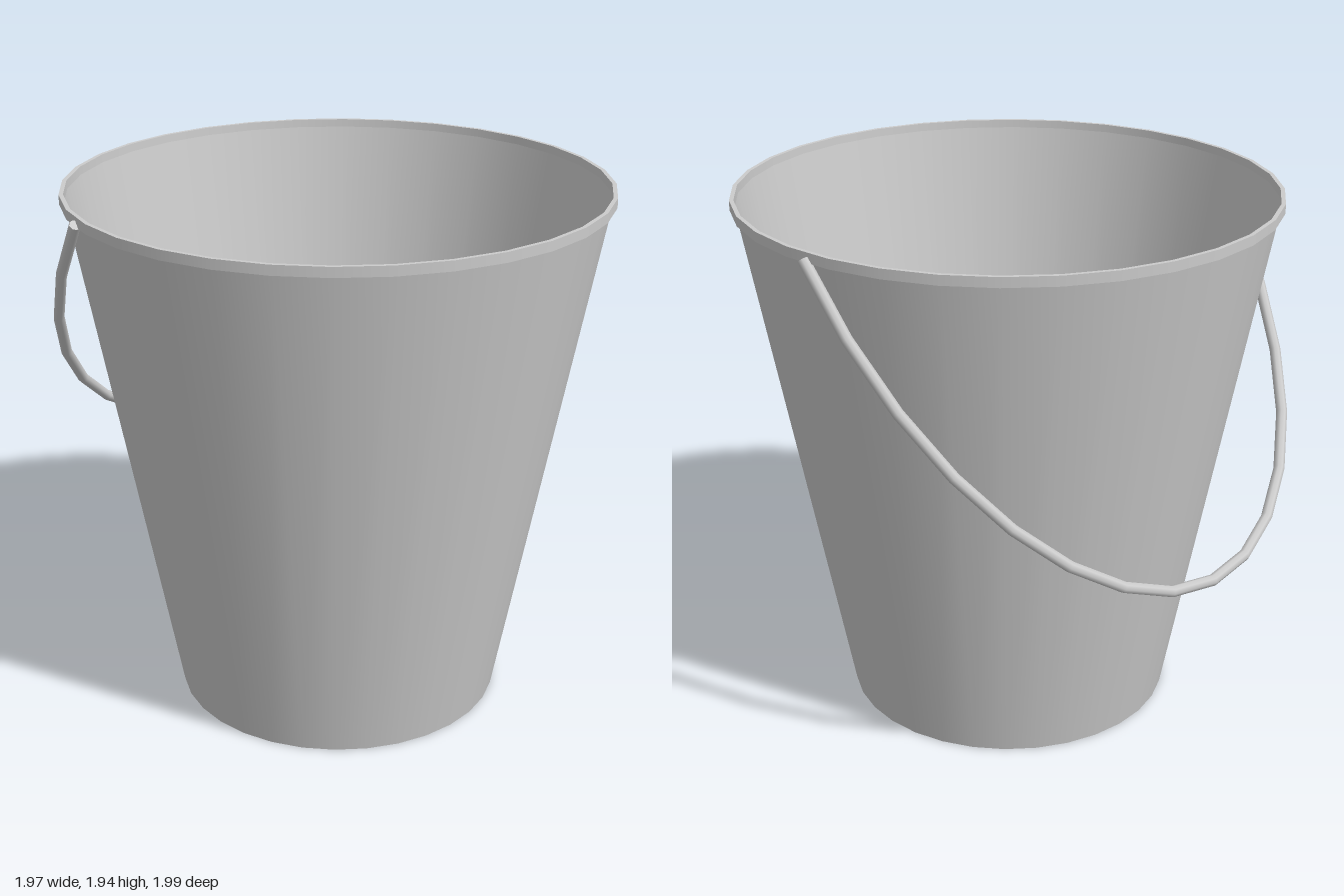
import * as THREE from 'three';

const SIDES = 32;
const v2 = (x, y) => new THREE.Vector2(x, y);

// Half ellipse in a tilted plane, hanging from the rim behind the bucket
class HandleCurve extends THREE.Curve {
  getPoint(t, target = new THREE.Vector3()) {
    const a = Math.PI * t, s = Math.sin(a);
    return target.set(0.965 * Math.cos(a), 1.915 - 1.142 * s, -0.055 - 0.922 * s);
  }
  // even angle steps rather than even lengths
  getPointAt(t, target) { return this.getPoint(t, target); }
  getTangentAt(t, target) { return this.getTangent(t, target); }
}

export function createModel() {
  const model = new THREE.Group();
  const material = new THREE.MeshStandardMaterial({ color: 0xcccccc });
  const thin = new THREE.MeshStandardMaterial({ color: 0xcccccc, side: THREE.DoubleSide });

  const add = (parent, name, geometry, mat = material) => {
    const mesh = new THREE.Mesh(geometry, mat);
    mesh.name = name;
    parent.add(mesh);
    return mesh;
  };

  const bucket = new THREE.Group();
  bucket.name = 'bucket';
  bucket.position.z = 0.03;
  model.add(bucket);

  // Tapered sheet wall
  add(bucket, 'wall', new THREE.CylinderGeometry(0.952, 0.6, 1.92, SIDES, 1, true), thin).position.y = 0.96;

  // Floor, set slightly above the bottom edge
  const floor = add(bucket, 'floor', new THREE.CircleGeometry(0.608, SIDES), thin);
  floor.rotation.x = -Math.PI / 2;
  floor.rotation.z = Math.PI / 2;
  floor.position.y = 0.045;

  // Rim band, one strip per face so the edges stay sharp
  const rim = new THREE.Group();
  rim.name = 'rim';
  bucket.add(rim);
  const corners = [v2(0.95, 1.905), v2(0.967, 1.905), v2(0.967, 1.94), v2(0.952, 1.94)];
  ['rimUnderside', 'rimOuter', 'rimTop', 'rimInner'].forEach((name, i) =>
    add(rim, name, new THREE.LatheGeometry([corners[i], corners[(i + 1) % 4]], SIDES), thin));

  // Wire handle with closed ends
  const handle = new THREE.Group();
  handle.name = 'handle';
  model.add(handle);
  const curve = new HandleCurve();
  add(handle, 'handleBar', new THREE.TubeGeometry(curve, 16, 0.02, 8, false));
  for (const t of [0, 1]) {
    const cap = add(handle, 'handleEnd', new THREE.CircleGeometry(0.02, 8), thin);
    const out = curve.getTangent(t).multiplyScalar(t ? 1 : -1);
    cap.position.copy(curve.getPoint(t));
    cap.quaternion.setFromUnitVectors(new THREE.Vector3(0, 0, 1), out);
  }

  return model;
}
